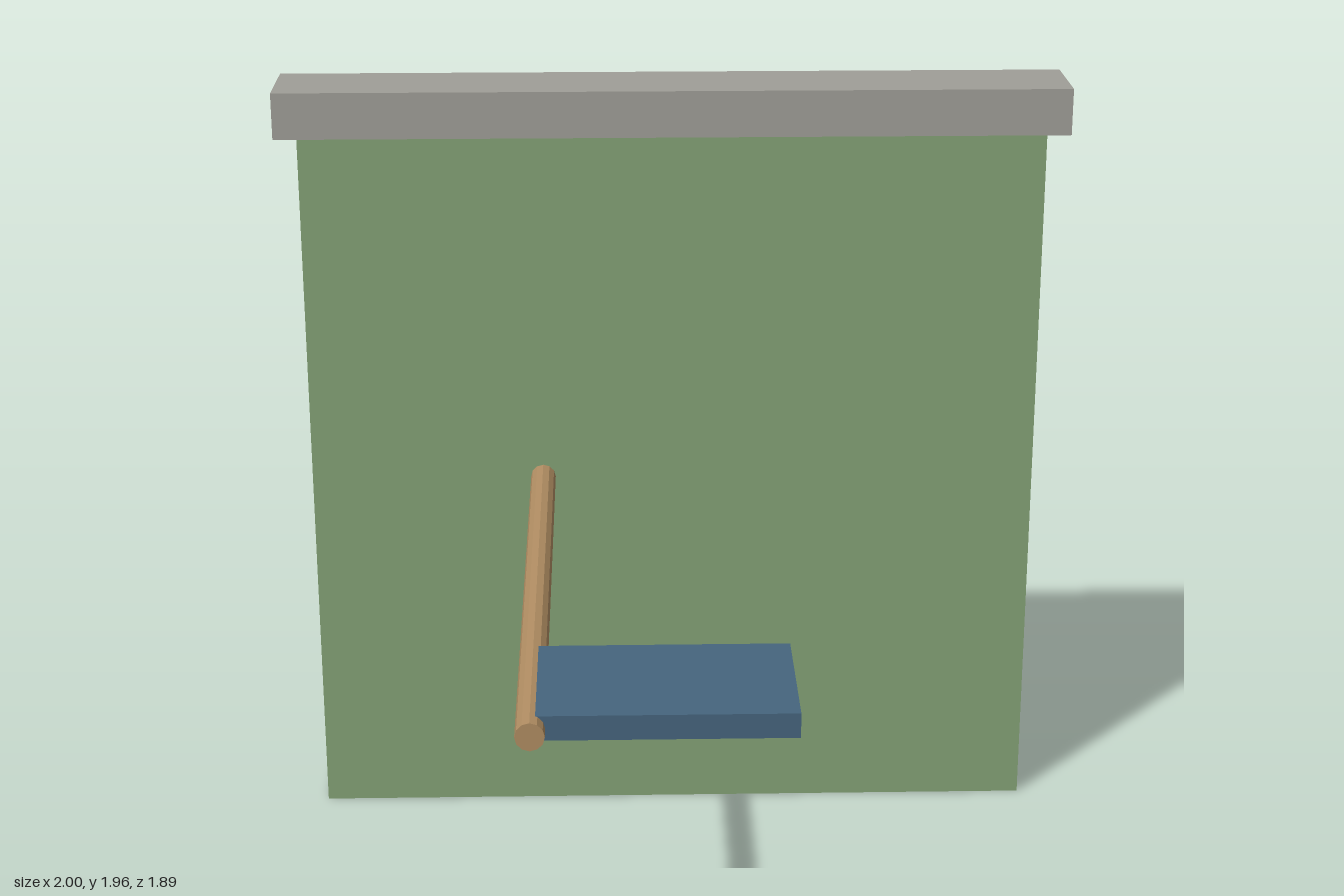
import * as THREE from 'three';

// Box given by its [min, max] extents on each axis
function slab(name, color, [x0, x1], [y0, y1], [z0, z1]) {
  const mesh = new THREE.Mesh(
    new THREE.BoxGeometry(x1 - x0, y1 - y0, z1 - z0),
    new THREE.MeshStandardMaterial({ color })
  );
  mesh.position.set((x0 + x1) / 2, (y0 + y1) / 2, (z0 + z1) / 2);
  mesh.name = name;
  return mesh;
}

export function createModel() {
  const model = new THREE.Group();
  model.name = 'wallWithFlag';

  // Green wall and the overhanging grey cap
  model.add(slab('wall', 0x84a376, [-0.945, 0.945], [0, 1.895], [-0.945, -0.73]));
  model.add(slab('wallCap', 0xa09f98, [-1, 1], [1.84, 1.957], [-0.932, -0.69]));

  // Horizontal wooden pole in front of the wall
  const z0 = -0.675, z1 = 0.945;
  const pole = new THREE.Mesh(
    new THREE.CylinderGeometry(0.032, 0.032, z1 - z0, 12),
    new THREE.MeshStandardMaterial({ color: 0xb08d62, flatShading: true })
  );
  pole.rotation.x = Math.PI / 2;
  pole.position.set(-0.34, 0.95, (z0 + z1) / 2);
  pole.name = 'pole';
  model.add(pole);

  // Flat blue flag, its edge set into the pole
  model.add(slab('flag', 0x46657e, [-0.335, 0.228], [0.923, 0.979], [0.527, 0.904]));

  return model;
}
